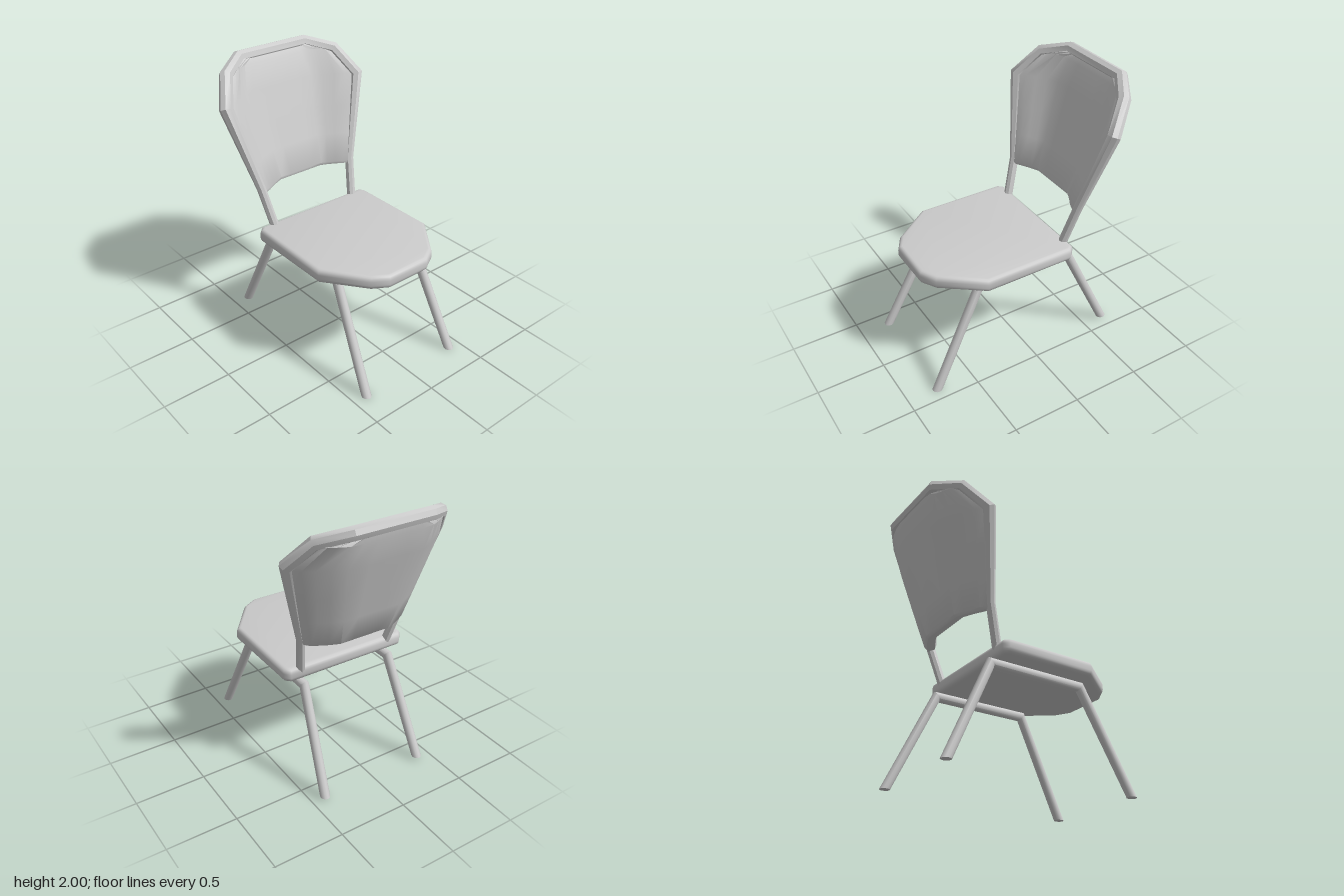
import * as THREE from 'three';
import { toCreasedNormals } from 'three/addons/utils/BufferGeometryUtils.js';

const V = (x, y, z) => new THREE.Vector3(x, y, z);
const material = new THREE.MeshStandardMaterial({ color: 0xcccccc });

function addMesh(parent, name, geometry, crease) {
  const mesh = new THREE.Mesh(toCreasedNormals(geometry, crease), material);
  mesh.name = name;
  parent.add(mesh);
  return mesh;
}

// Skin a list of rings (even point count, counter-clockwise along the path) and cap both ends
function loft(rings) {
  const n = rings[0].length, last = (rings.length - 1) * n, index = [];
  const quad = (a, b, c, d) => index.push(a, b, c, a, c, d);
  for (let i = 0; i < rings.length - 1; i++) {
    for (let j = 0; j < n; j++) {
      const k = (j + 1) % n;
      quad(i * n + j, i * n + k, (i + 1) * n + k, (i + 1) * n + j);
    }
  }
  for (let k = 0; k < n / 2 - 1; k++) {
    quad(n - 1 - k, n - 2 - k, k + 1, k);
    quad(last + k, last + k + 1, last + n - 2 - k, last + n - 1 - k);
  }
  const geometry = new THREE.BufferGeometry().setFromPoints(rings.flat());
  geometry.setIndex(index);
  return geometry;
}

// Ring of points spanned by two half-axes
function ring(center, u, v, sides, phase = 0) {
  return Array.from({ length: sides }, (_, i) => {
    const a = phase + (i / sides) * Math.PI * 2;
    return center.clone().addScaledVector(u, Math.cos(a)).addScaledVector(v, Math.sin(a));
  });
}

// Curved, leaning surface of the backrest: flat in the middle, wrapping forward at the sides
function backZ(x, y) {
  const d = Math.max(0, Math.abs(x) - (0.19 + 0.104 * (y - 1.09)));
  return -0.47 - 0.326 * (y - 1.09) + 0.42 * d + 0.6 * d * d;
}
function backNormal(x, y) {
  const e = 0.01;
  return V(
    -(backZ(x + e, y) - backZ(x - e, y)) / (2 * e),
    -(backZ(x, y + e) - backZ(x, y - e)) / (2 * e), 1).normalize();
}

// Half of the frame's centre line: x, y, radius
const FRAME = [
  [0.348, 0.78, 0.032], [0.403, 1.12, 0.032], [0.565, 1.72, 0.048],
  [0.463, 1.895, 0.047], [0.28, 1.953, 0.047],
];

function frameGeometry() {
  const path = [...FRAME, ...FRAME.map(([x, y, r]) => [-x, y, r]).reverse()];
  const points = path.map(([x, y]) => V(x, y, backZ(x, y)));
  const rings = points.map((p, i) => {
    const before = p.clone().sub(points[Math.max(i - 1, 0)]).normalize();
    const after = points[Math.min(i + 1, points.length - 1)].clone().sub(p).normalize();
    const tangent = before.clone().add(after).normalize();
    const normal = backNormal(p.x, p.y);
    const outward = tangent.clone().cross(normal).normalize();
    const inward = outward.clone().cross(tangent).normalize();
    const r = path[i][2];
    const mitre = 1 / Math.max(tangent.dot(after), tangent.dot(before));
    return ring(p, outward.multiplyScalar(r * mitre), inward.multiplyScalar(-r), 8, Math.PI / 8);
  });
  return loft(rings);
}

function frameWidth(y) {
  const i = Math.max(1, FRAME.findIndex((f) => f[1] >= y));
  const [x0, y0] = FRAME[i - 1], [x1, y1] = FRAME[i];
  return x0 + (x1 - x0) * (y - y0) / (y1 - y0);
}

// Padded panel: each row is a thin closed ring, front then back
function panelGeometry() {
  const columns = [1, 0.9, 0.78, 0.64, 0.48, 0.24];
  const across = [...columns.map((c) => -c), 0, ...columns.slice().reverse()];
  const rows = [[1.083, 0.03], [1.1, 0.044], [1.3, 0.045], [1.5, 0.045], [1.72, 0.045], [1.895, 0.043], [1.95, 0.03]];
  return loft(rows.map(([y, half]) => {
    const width = frameWidth(y) - 0.012;
    const side = (sign) => across.map((u) => {
      const x = u * width, t = Math.abs(u) === 1 ? half * 0.65 : half;
      return V(x, y, backZ(x, y)).addScaledVector(backNormal(x, y), sign * t);
    });
    return [...side(1), ...side(-1).reverse()];
  }));
}

// Front leg, under-seat rail and back leg bent from one tube, with level-cut feet
function legGeometry(side) {
  const stations = [
    [0.398, 0, 0.772, 0, 0.037],
    [0.35, 0.725, 0.4, 0.035, 0.021],
    [0.35, 0.725, -0.325, 0.035, -0.021],
    [0.398, 0.02, -0.655, 0, -0.037],
  ];
  return loft(stations.map(([x, y, z, uy, uz]) =>
    ring(V(side * x + 0.006, y, z), V(0, uy, uz), V(0.034, 0, 0), 12)));
}

function seatGeometry() {
  const half = [[0.165, 0.735], [0.275, 0.67], [0.488, 0.39], [0.488, -0.27], [0.45, -0.31]];
  const outline = [...half, ...half.map(([x, z]) => [-x, z]).reverse()];
  const shape = new THREE.Shape(outline.map(([x, z]) => new THREE.Vector2(x - 0.006, z)));
  const geometry = new THREE.ExtrudeGeometry(shape, {
    depth: 0.03, bevelThickness: 0.035, bevelSize: 0.03, bevelOffset: -0.03, bevelSegments: 4,
  });
  return geometry.rotateX(Math.PI / 2).translate(0, 0.825, 0);
}

export function createModel() {
  const chair = new THREE.Group();
  chair.name = 'chair';
  addMesh(chair, 'seat', seatGeometry(), 0.85);
  addMesh(chair, 'leftLegs', legGeometry(1), 0.6);
  addMesh(chair, 'rightLegs', legGeometry(-1), 0.6);

  const backrest = new THREE.Group();
  backrest.name = 'backrest';
  addMesh(backrest, 'backFrame', frameGeometry(), 0.6);
  addMesh(backrest, 'backPanel', panelGeometry(), 0.7);
  chair.add(backrest);
  return chair;
}
